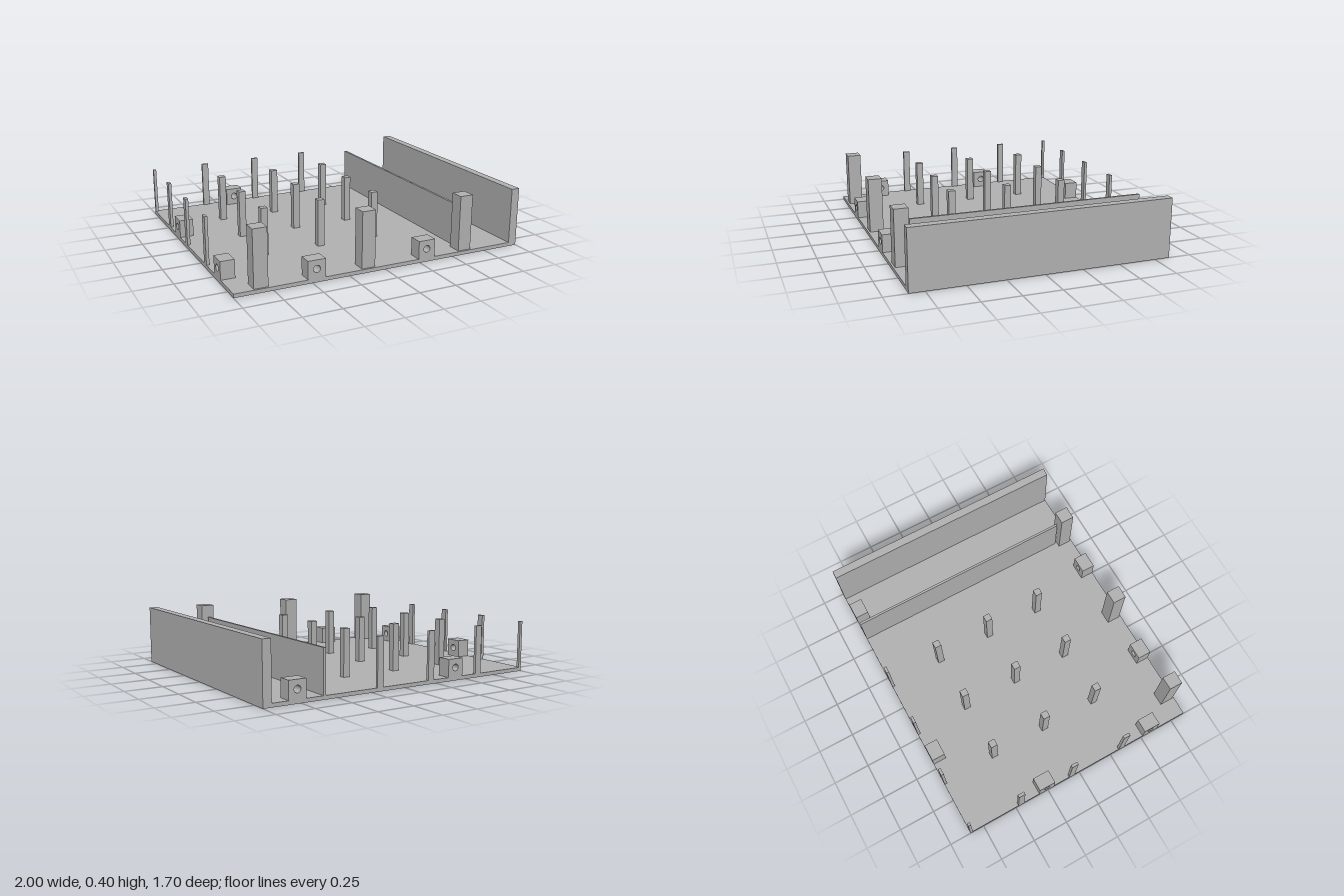
import * as THREE from 'three';

export function createModel() {
  const model = new THREE.Group();
  model.name = 'baseTray';
  const grey = new THREE.MeshStandardMaterial({ color: 0xb2b2b2 });
  grey.name = 'plainGrey';
  const FLOOR = 0.025;

  // Box given by its extents
  function box(name, x0, x1, y0, y1, z0, z1) {
    const mesh = new THREE.Mesh(new THREE.BoxGeometry(x1 - x0, y1 - y0, z1 - z0), grey);
    mesh.position.set((x0 + x1) / 2, (y0 + y1) / 2, (z0 + z1) / 2);
    mesh.name = name;
    model.add(mesh);
  }

  // Base plate, tall side wall and thin inner rail
  box('basePlate', -1, 1, 0, FLOOR, -0.85, 0.85);
  box('sideWall', 0.943, 1, FLOOR, 0.395, -0.85, 0.85);
  box('innerRail', 0.583, 0.599, FLOOR, 0.31, -0.85, 0.73);

  // Grid of thin pins, cut off at the plate's edges
  const r = 0.023;
  for (let i = 0; i < 4; i++) {
    for (let j = 0; j < 4; j++) {
      const x = -1.003 + i * 0.397, z = -0.854 + j * 0.397;
      box('pin', Math.max(x - r, -1), x + r, FLOOR, 0.343, Math.max(z - r, -0.85), z + r);
    }
  }

  // Thick posts along the front
  for (const x of [-0.825, -0.114, 0.595]) {
    box('frontPost', x - 0.046, x + 0.046, FLOOR, 0.395, 0.744, 0.837);
  }

  // Mounting lugs, each with a round through hole
  const w = 0.0585, h = 0.119, depth = 0.093;
  const outline = new THREE.Shape();
  outline.moveTo(-w, 0).lineTo(w, 0).lineTo(w, h).lineTo(-w, h).closePath();
  const hole = new THREE.Path();
  hole.absarc(0, 0.061, 0.023, 0, Math.PI * 2, true);
  outline.holes.push(hole);
  const lugGeometry = new THREE.ExtrudeGeometry(outline, { depth, bevelEnabled: false, curveSegments: 16 });
  lugGeometry.translate(0, 0, -depth / 2);

  function lug(name, x, z, turn = 0) {
    const mesh = new THREE.Mesh(lugGeometry, grey);
    mesh.position.set(x, FLOOR, z);
    mesh.rotation.y = turn;
    mesh.name = name;
    model.add(mesh);
  }
  for (const x of [-0.471, 0.299]) lug('frontLug', x, 0.85 - depth / 2);
  for (const x of [-0.411, 0.775]) lug('backLug', x, -0.85 + depth / 2);
  for (const z of [-0.259, 0.568]) lug('rightLug', -1 + depth / 2, z, Math.PI / 2);

  return model;
}
